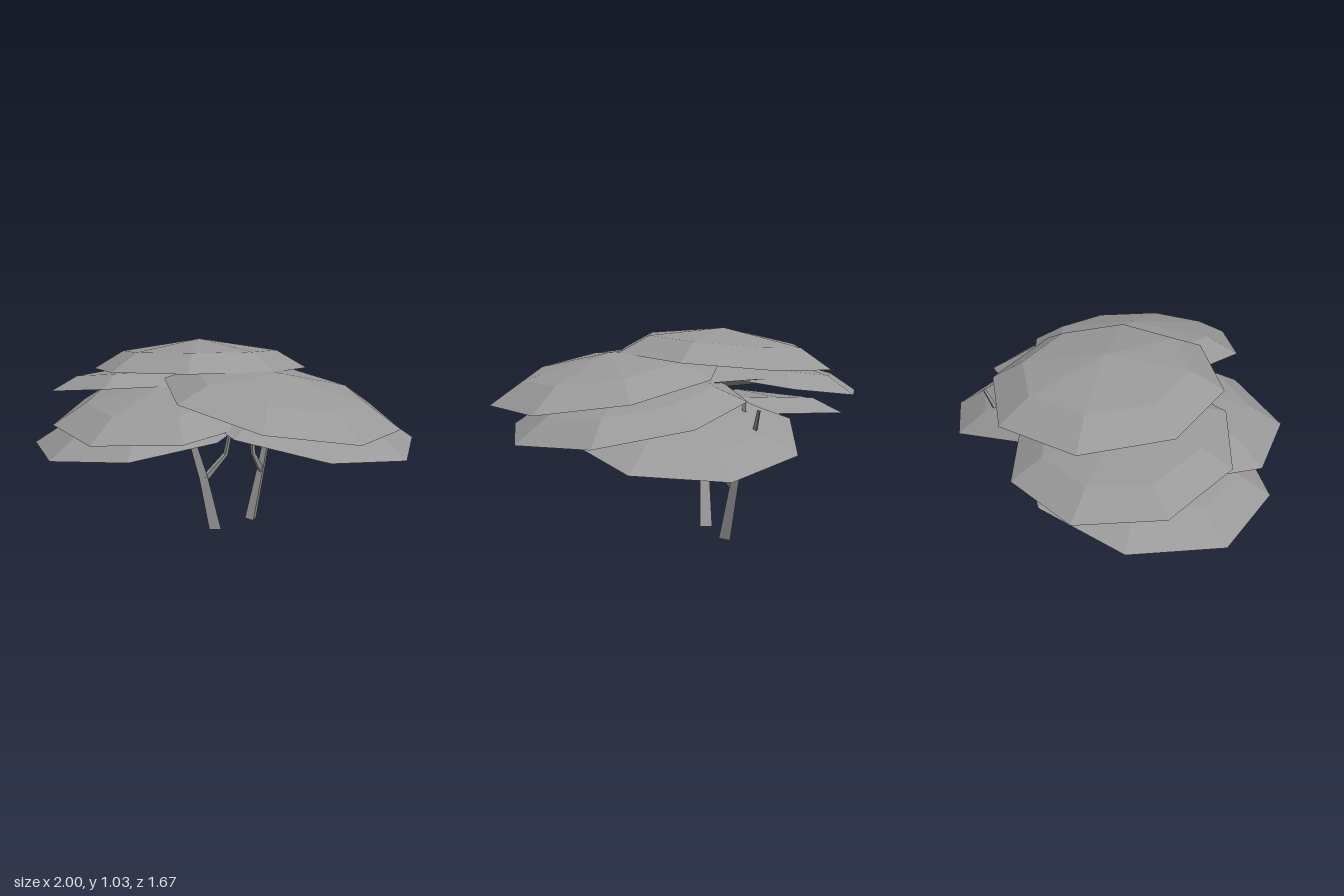
import * as THREE from 'three';

const material = new THREE.MeshStandardMaterial({ color: 0x999999, flatShading: true });

// Tapered three-sided limb: a ring of corners at each path point, then end caps.
function limb(name, path, radii, turn = 0) {
  const sides = 3;
  const pts = path.map((p) => new THREE.Vector3(...p));
  const pos = [], index = [];
  const q = new THREE.Quaternion(), up = new THREE.Vector3(0, 1, 0);
  pts.forEach((p, i) => {
    const dir = pts[Math.min(i + 1, pts.length - 1)].clone().sub(pts[Math.max(i - 1, 0)]).normalize();
    if (p.y === 0) dir.copy(up); // flat foot on the ground
    q.setFromUnitVectors(up, dir);
    for (let s = 0; s < sides; s++) {
      const a = (s / sides) * Math.PI * 2 + turn;
      const v = new THREE.Vector3(Math.sin(a) * radii[i], 0, Math.cos(a) * radii[i]);
      pos.push(...v.applyQuaternion(q).add(p).toArray());
    }
  });
  for (let i = 0; i < pts.length - 1; i++) {
    for (let s = 0; s < sides; s++) {
      const a = i * sides + s, b = i * sides + ((s + 1) % sides);
      index.push(a, b, b + sides, a, b + sides, a + sides);
    }
  }
  const last = (pts.length - 1) * sides;
  index.push(0, 2, 1, last, last + 1, last + 2);
  const geo = new THREE.BufferGeometry();
  geo.setAttribute('position', new THREE.Float32BufferAttribute(pos, 3));
  geo.setIndex(index);
  geo.computeVertexNormals();
  const mesh = new THREE.Mesh(geo, material);
  mesh.name = name;
  return mesh;
}

// Shallow eight-sided foliage dome with a flat underside, tilted by slopes in x and z.
function foliage({ name, at, radius, turn, slope, height = 0.145 }) {
  const profile = [[0, 0], [radius, 0], [radius * 0.72, height * 0.6], [0, height]];
  const geo = new THREE.LatheGeometry(profile.map(([r, y]) => new THREE.Vector2(r, y)), 8);
  geo.rotateY(THREE.MathUtils.degToRad(-turn));
  const p = geo.attributes.position;
  for (let i = 0; i < p.count; i++) {
    p.setY(i, p.getY(i) + slope[0] * p.getX(i) + slope[1] * p.getZ(i));
  }
  geo.computeVertexNormals();
  const mesh = new THREE.Mesh(geo, material);
  mesh.position.set(...at);
  mesh.name = name;
  return mesh;
}

export function createModel() {
  const tree = new THREE.Group();
  tree.name = 'spreadingTree';

  // Foliage layers
  const canopy = new THREE.Group();
  canopy.name = 'canopy';
  [
    { name: 'topFoliage', at: [-0.105, 0.876, -0.2], radius: 0.567, turn: 2, slope: [0.01, 0.082], height: 0.156 },
    { name: 'frontFoliage', at: [0.31, 0.77, 0.26], radius: 0.575, turn: 9.4, slope: [-0.17, -0.09] },
    { name: 'backRightFoliage', at: [-0.432, 0.752, -0.335], radius: 0.52, turn: 14, slope: [0.05, 0.14], height: 0.125 },
    { name: 'frontRightFoliage', at: [-0.25, 0.7, 0.055], radius: 0.58, turn: -12, slope: [0.085, -0.12] },
    { name: 'leftFoliage', at: [0.433, 0.64, 0.1], radius: 0.572, turn: -9, slope: [-0.165, -0.09] },
    { name: 'backLeftFoliage', at: [0.43, 0.576, -0.185], radius: 0.55, turn: 3.6, slope: [-0.228, 0.14], height: 0.105 },
    { name: 'lowRightFoliage', at: [-0.41, 0.541, -0.18], radius: 0.59, turn: 0, slope: [0.122, -0.063] },
  ].forEach((f) => canopy.add(foliage(f)));
  tree.add(canopy);

  // Right trunk, leaning right, with an inner and an outer branch
  const rightTrunk = new THREE.Group();
  rightTrunk.name = 'rightTrunk';
  rightTrunk.add(
    limb('trunk', [[-0.018, 0, -0.135], [-0.08, 0.3, -0.105], [-0.128, 0.47, -0.09], [-0.128, 0.66, -0.085]],
      [0.037, 0.027, 0.022, 0.012], Math.PI),
    limb('innerBranch', [[-0.075, 0.29, -0.105], [0.035, 0.4, -0.22], [0.085, 0.66, -0.23]], [0.022, 0.016, 0.01]),
    limb('outerBranch', [[-0.125, 0.475, -0.09], [-0.28, 0.5, -0.1], [-0.325, 0.57, -0.11]], [0.022, 0.018, 0.01]),
  );
  tree.add(rightTrunk);

  // Left trunk, leaning left and back; its outer branch ends in a twig above the foliage
  const leftTrunk = new THREE.Group();
  leftTrunk.name = 'leftTrunk';
  leftTrunk.add(
    limb('trunk', [[0.18, 0, -0.315], [0.235, 0.28, -0.375], [0.267, 0.46, -0.415], [0.265, 0.7, -0.43]],
      [0.038, 0.027, 0.022, 0.01], -Math.PI / 2 - 0.25),
    limb('innerBranch', [[0.23, 0.27, -0.375], [0.185, 0.4, -0.22], [0.165, 0.66, -0.2]], [0.022, 0.016, 0.01]),
    limb('outerBranch', [[0.267, 0.455, -0.415], [0.4, 0.5, -0.49], [0.43, 0.57, -0.525], [0.485, 0.685, -0.56]],
      [0.022, 0.018, 0.014, 0.009]),
  );
  tree.add(leftTrunk);

  return tree;
}
